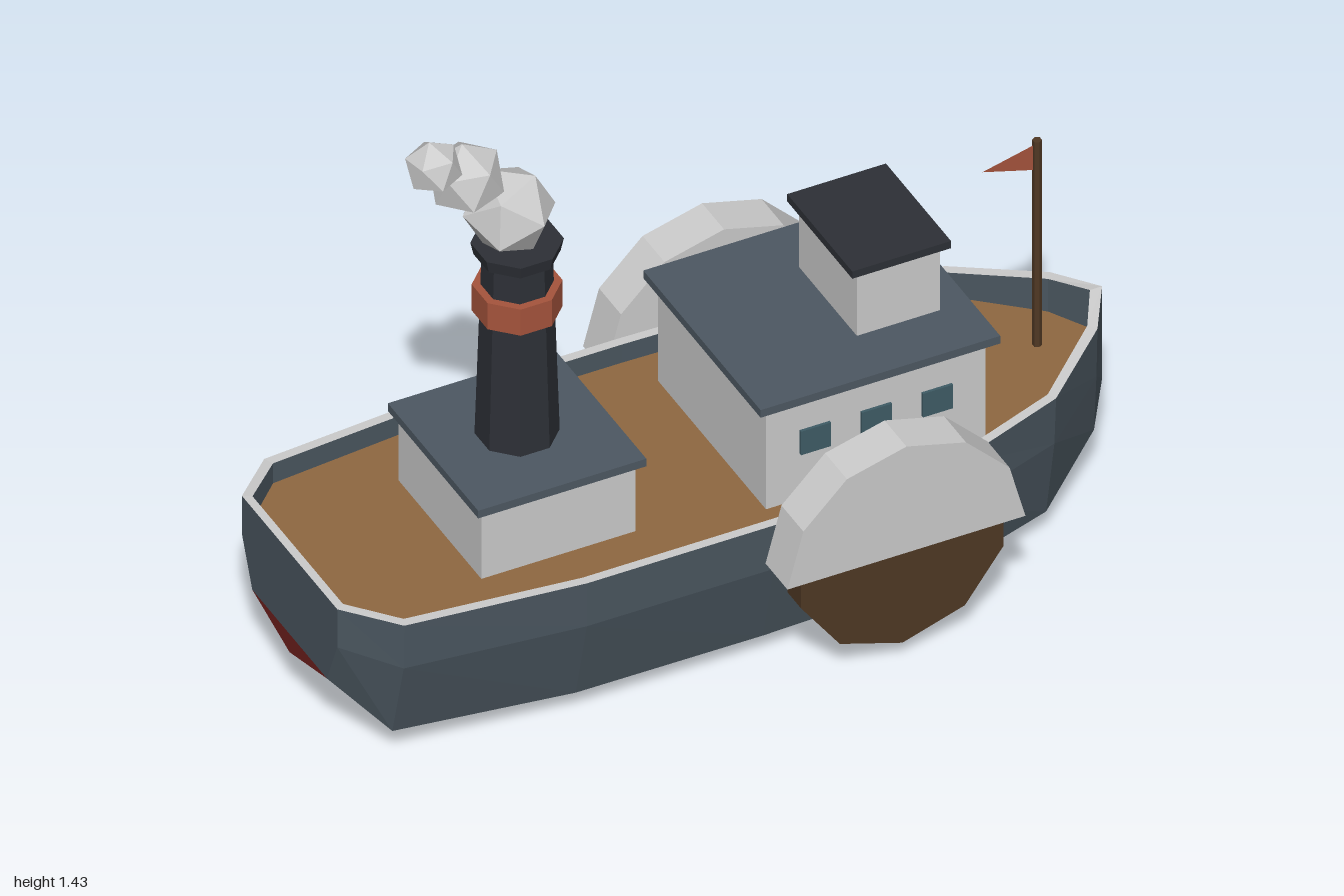
import * as THREE from 'three';

const mat = (color, side = THREE.FrontSide) =>
  new THREE.MeshStandardMaterial({ color, flatShading: true, side });

const HULL = mat(0x4a565f), RED = mat(0x6e1f1c), GREY = mat(0xcccccc), DECK = mat(0x8f6841);
const ROOF = mat(0x4d5862), DARK = mat(0x2d3036), GLASS = mat(0x3f5c66), WOOD = mat(0x4f3824);
const BRICK = mat(0xa5543c, THREE.DoubleSide);

function add(parent, name, geometry, material, x = 0, y = 0, z = 0) {
  const mesh = new THREE.Mesh(geometry, material);
  mesh.name = name;
  mesh.position.set(x, y, z);
  parent.add(mesh);
  return mesh;
}

// Box given by its x range, y range and half depth
function block(parent, name, material, x0, x1, y0, y1, halfZ, z = 0) {
  const geometry = new THREE.BoxGeometry(x1 - x0, y1 - y0, halfZ * 2);
  return add(parent, name, geometry, material, (x0 + x1) / 2, (y0 + y1) / 2, z);
}

// Surface between two rows of points on the +z side, mirrored to the -z side
function strip(rowA, rowB) {
  const pos = [];
  const tri = (a, b, c) => {
    pos.push(...a, ...b, ...c);
    for (const [x, y, z] of [a, c, b]) pos.push(x, y, -z);
  };
  for (let i = 0; i < rowA.length - 1; i++) {
    tri(rowA[i], rowB[i], rowB[i + 1]);
    tri(rowA[i], rowB[i + 1], rowA[i + 1]);
  }
  const geometry = new THREE.BufferGeometry();
  geometry.setAttribute('position', new THREE.Float32BufferAttribute(pos, 3));
  geometry.computeVertexNormals();
  return geometry;
}

function buildHull() {
  const hull = new THREE.Group();
  hull.name = 'hull';
  // Per station: x, [half width, y] of sheer, side knuckle and chine, then keel y
  const stations = [
    [-1.0, [0, 0.415], [0, 0.31], [0, 0.19], 0.14],
    [-1.0, [0.23, 0.415], [0.23, 0.31], [0.18, 0.19], 0.14],
    [-0.89, [0.338, 0.405], [0.335, 0.285], [0.28, 0.075], 0.025],
    [-0.46, [0.378, 0.4], [0.376, 0.28], [0.322, 0.06], 0.005],
    [0, [0.378, 0.4], [0.378, 0.28], [0.325, 0.06], 0],
    [0.44, [0.367, 0.4], [0.362, 0.28], [0.31, 0.06], 0.005],
    [0.75, [0.268, 0.415], [0.26, 0.285], [0.22, 0.07], 0.025],
    [0.93, [0.115, 0.44], [0.11, 0.305], [0.098, 0.15], 0.095],
    [1.0, [0, 0.455], [0, 0.33], [0, 0.2], 0.2],
  ];
  const row = k => stations.map(s => [s[0], s[k][1], s[k][0]]);
  const sheer = row(1), knuckle = row(2), chine = row(3);
  const keel = stations.map(s => [s[0], s[4], 0]);

  // Inner edge of the gunwale: x, half width
  const inner = [[-0.98, 0], [-0.98, 0.218], [-0.88, 0.315], [-0.46, 0.355], [0, 0.355],
    [0.435, 0.345], [0.74, 0.247], [0.915, 0.095], [0.97, 0]];
  const rim = inner.map(([x, w], i) => [x, sheer[i][1], w]);
  const edge = inner.map(([x, w]) => [x, 0.35, w]);
  const middle = inner.map(([x]) => [x, 0.35, 0]);

  add(hull, 'upperSides', strip(sheer, knuckle), HULL);
  add(hull, 'lowerSides', strip(knuckle, chine), HULL);
  add(hull, 'bottom', strip(chine.slice(0, -1), keel.slice(0, -1)), RED);
  add(hull, 'forefoot', strip(chine.slice(-2), keel.slice(-2)), HULL);
  add(hull, 'gunwale', strip(rim, sheer), GREY);
  add(hull, 'bulwarkInside', strip(edge, rim), HULL);
  add(hull, 'deck', strip(middle, edge), DECK);
  return hull;
}

function buildCabins() {
  const cabins = new THREE.Group();
  cabins.name = 'cabins';
  block(cabins, 'aftCabin', GREY, -0.63, -0.25, 0.34, 0.535, 0.2);
  block(cabins, 'aftCabinRoof', ROOF, -0.647, -0.233, 0.535, 0.556, 0.218);
  block(cabins, 'mainCabin', GREY, 0.04, 0.58, 0.34, 0.627, 0.26);
  block(cabins, 'mainCabinRoof', ROOF, 0.015, 0.605, 0.627, 0.648, 0.283);
  block(cabins, 'wheelhouse', GREY, 0.325, 0.53, 0.648, 0.824, 0.14);
  block(cabins, 'wheelhouseRoof', DARK, 0.305, 0.548, 0.824, 0.844, 0.157);
  block(cabins, 'wheelhouseWindow', GLASS, 0.52, 0.54, 0.73, 0.787, 0.11);
  for (const side of [-1, 1])
    for (const x of [0.16, 0.31, 0.46])
      block(cabins, 'cabinWindow', GLASS, x - 0.037, x + 0.037, 0.475, 0.54, 0.01, side * 0.257);
  return cabins;
}

function buildFunnel() {
  const funnel = new THREE.Group();
  funnel.name = 'funnel';
  funnel.position.x = -0.44;
  const ring = (name, material, top, bottom, y0, y1) => {
    const geometry = new THREE.CylinderGeometry(top, bottom, y1 - y0, 8).rotateY(Math.PI / 8);
    add(funnel, name, geometry, material, 0, (y0 + y1) / 2);
  };
  ring('funnelStack', DARK, 0.078, 0.094, 0.55, 1.06);
  ring('funnelBand', BRICK, 0.1, 0.1, 0.895, 0.967);
  ring('funnelCap', DARK, 0.103, 0.096, 1.05, 1.082);
  return funnel;
}

function buildPaddle(side) {
  const paddle = new THREE.Group();
  paddle.name = side > 0 ? 'frontPaddle' : 'backPaddle';
  paddle.position.set(0.267, 0.31, side * 0.44);
  // Ten-sided wheel with a corner pointing down
  const wheel = new THREE.CylinderGeometry(0.262, 0.262, 0.066, 10).rotateX(Math.PI / 2);
  add(paddle, 'paddleWheel', wheel, WOOD);
  // Half-round cover
  const arch = new THREE.Shape();
  for (let i = 0; i <= 6; i++) {
    const a = (i * Math.PI) / 6;
    arch[i ? 'lineTo' : 'moveTo'](0.293 * Math.cos(a), 0.293 * Math.sin(a));
  }
  const cover = new THREE.ExtrudeGeometry(arch, { depth: 0.106, bevelEnabled: false });
  add(paddle, 'paddleCover', cover.translate(0, 0, -0.053), GREY);
  return paddle;
}

export function createModel() {
  const boat = new THREE.Group();
  boat.name = 'paddleSteamer';
  boat.add(buildHull(), buildCabins(), buildFunnel(), buildPaddle(1), buildPaddle(-1));

  // Smoke puffs: x, y, z, radius
  const puffs = [[-0.46, 1.175, 0, 0.108], [-0.555, 1.283, -0.02, 0.09], [-0.652, 1.368, 0.013, 0.066]];
  puffs.forEach(([x, y, z, r], i) => {
    const puff = add(boat, 'smokePuff', new THREE.IcosahedronGeometry(r, 0), GREY, x, y, z);
    puff.rotation.set(0.5 + i, 0.4 + i * 0.7, 0);
  });

  // Flagpole and pennant
  add(boat, 'flagpole', new THREE.CylinderGeometry(0.011, 0.011, 0.565, 6), WOOD, 0.84, 0.6325);
  const pennant = new THREE.Shape([
    new THREE.Vector2(0.84, 0.905), new THREE.Vector2(0.705, 0.872), new THREE.Vector2(0.84, 0.832)]);
  add(boat, 'flag', new THREE.ShapeGeometry(pennant), BRICK);
  return boat;
}
